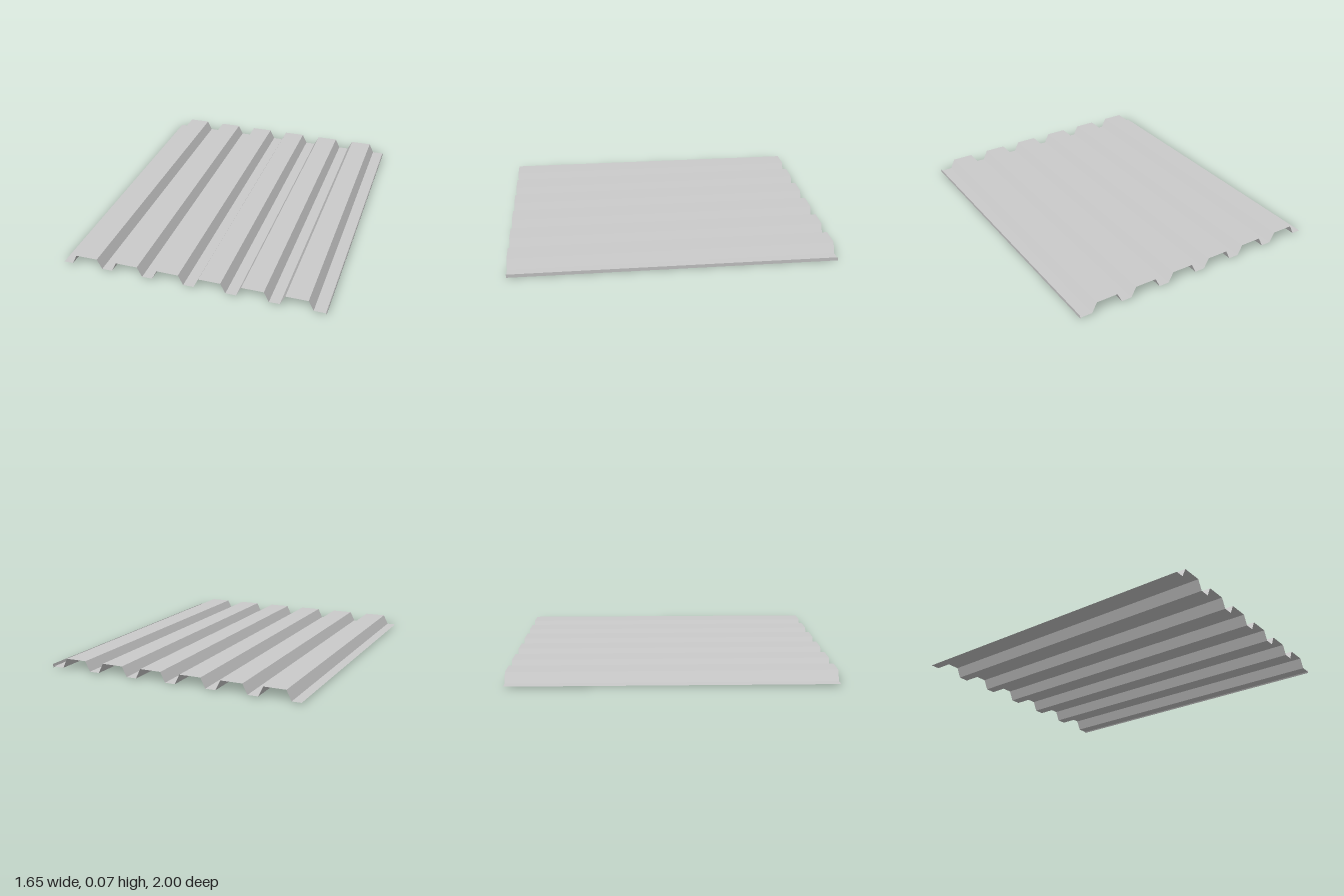
import * as THREE from 'three';

// Sweeps an open x/y profile along z as a thin folded sheet with crisp bends
function foldedSheet(profile, length) {
  const positions = [];
  const h = length / 2;
  for (let i = 0; i < profile.length - 1; i++) {
    const [x0, y0] = profile[i];
    const [x1, y1] = profile[i + 1];
    positions.push(x0, y0, h, x1, y1, h, x1, y1, -h);
    positions.push(x0, y0, h, x1, y1, -h, x0, y0, -h);
  }
  const geometry = new THREE.BufferGeometry();
  geometry.setAttribute('position', new THREE.Float32BufferAttribute(positions, 3));
  geometry.computeVertexNormals();
  return geometry;
}

export function createModel() {
  const group = new THREE.Group();
  group.name = 'corrugatedRoofSheet';

  const ribs = 6, pitch = 0.263, firstRib = -0.767;
  const low = 0.008, high = 0.07;

  // Left-over flat margin, then the repeating trapezoid ribs
  const profile = [[-0.825, low]];
  for (let i = 0; i < ribs; i++) {
    const x = firstRib + i * pitch;
    profile.push([x, low], [x + 0.031, high], [x + 0.167, high], [x + 0.198, low]);
  }
  // Flat margin ending in a small stiffening lip
  profile.push([0.817, low], [0.822, 0], [0.825, 0.023]);

  const sheet = new THREE.Mesh(
    foldedSheet(profile, 2),
    new THREE.MeshStandardMaterial({ color: 0xcccccc, flatShading: true, side: THREE.DoubleSide })
  );
  sheet.name = 'ribbedSheet';
  group.add(sheet);
  return group;
}
